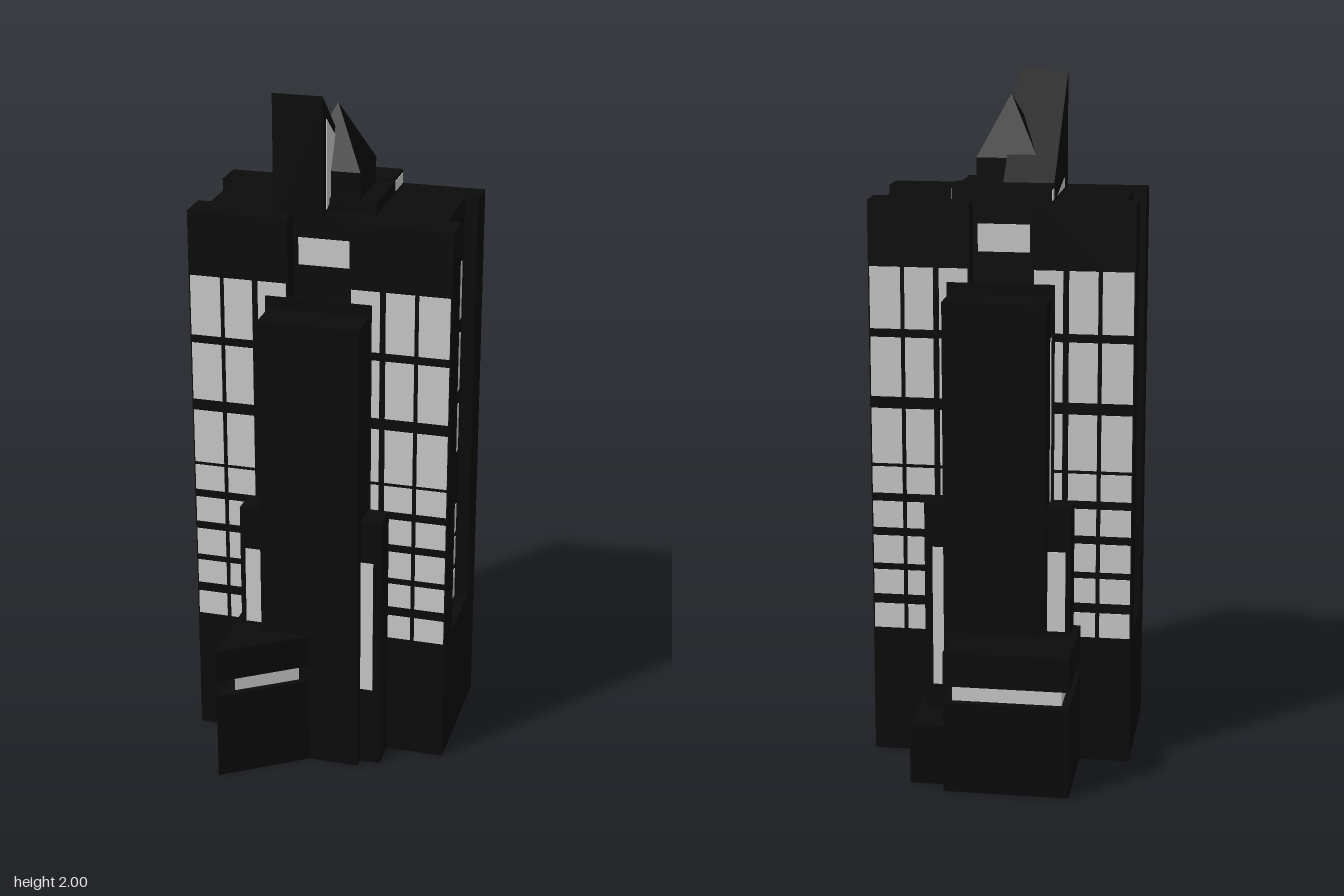
import * as THREE from 'three';

export function createModel() {
  const model = new THREE.Group();
  const dark = new THREE.MeshStandardMaterial({ color: 0x0b0b0b });
  dark.name = 'black cladding';
  const glass = new THREE.MeshStandardMaterial({ color: 0xcccccc });
  glass.name = 'pale glass';

  const add = (name, geometry, material) => {
    const mesh = new THREE.Mesh(geometry, material);
    mesh.name = name;
    model.add(mesh);
    return mesh;
  };
  // Box given by its limits on each axis
  const box = (name, x0, x1, y0, y1, z0, z1, material = dark) => {
    const mesh = add(name, new THREE.BoxGeometry(x1 - x0, y1 - y0, z1 - z0), material);
    mesh.position.set((x0 + x1) / 2, (y0 + y1) / 2, (z0 + z1) / 2);
    return mesh;
  };
  // Vertical prism over an [x, z] footprint
  const prism = (name, points, y0, y1, material = dark) => {
    const shape = new THREE.Shape(points.map(([x, z]) => new THREE.Vector2(x, -z)));
    const geometry = new THREE.ExtrudeGeometry(shape, { depth: y1 - y0, bevelEnabled: false });
    geometry.rotateX(-Math.PI / 2);
    geometry.translate(0, y0, 0);
    return add(name, geometry, material);
  };
  // Thin panes on faces pointing along z or x
  const paneZ = (name, x0, x1, y0, y1, z, s) =>
    box(name, x0, x1, y0, y1, z * s - 0.002, z * s + 0.002, glass);
  const paneX = (name, x, s, y0, y1, z0, z1) =>
    box(name, x * s - 0.002, x * s + 0.002, y0, y1, z0, z1, glass);

  // Main slab: solid base, notched ends, recessed centre at the top
  const W = 0.383, D = 0.21, N = 0.345, H = 0.11;
  box('base', -W, W, 0, 0.38, -D, D);
  prism('mainBody', [
    [-W, -D], [W, -D], [W, -H], [N, -H], [N, H], [W, H],
    [W, D], [-W, D], [-W, H], [-N, H], [-N, -H], [-W, -H],
  ], 0.38, 1.395);
  prism('upperBody', [
    [-W, -D], [-0.09, -D], [-0.09, -0.15], [0.09, -0.15], [0.09, -D], [W, -D],
    [W, -H], [N, -H], [N, H], [W, H],
    [W, D], [0.09, D], [0.09, 0.15], [-0.09, 0.15], [-0.09, D], [-W, D],
    [-W, H], [-N, H], [-N, -H], [-W, -H],
  ], 1.395, 1.66);

  // Front and back window grids
  const rows = [
    [1.29, 1.47], [1.09, 1.265], [0.89, 1.055], [0.8, 0.88],
    [0.695, 0.775], [0.585, 0.67], [0.49, 0.565], [0.385, 0.46],
  ];
  const columns = [[0.29, 0.379], [0.195, 0.278], [0.095, 0.178]];
  for (const s of [1, -1]) {
    for (const [y0, y1] of rows) {
      for (const [a, b] of columns) {
        paneZ('windowPane', a, b, y0, y1, D, s);
        paneZ('windowPane', -b, -a, y0, y1, D, s);
      }
    }
    paneZ('topCentreWindow', -0.075, 0.075, 1.51, 1.59, 0.15, s);
  }

  // End windows inside the notches
  const endRows = [
    [1.305, 1.48], [1.08, 1.26], [0.885, 1.035],
    [0.615, 0.705], [0.505, 0.595], [0.39, 0.485],
  ];
  for (const s of [1, -1]) {
    for (const [y0, y1] of endRows) paneX('endWindow', N, s, y0, y1, -0.088, 0.088);
  }

  // Central shaft running through the slab, with lower shoulders
  box('centralShaft', -0.145, 0.15, 0, 1.395, -0.33, 0.33);
  for (const s of [1, -1]) {
    box('shaftBacking', -0.155, 0.155, 0.8, 1.43, s * 0.211 - 0.006, s * 0.211 + 0.006);
    paneX('shaftSideWindow', s > 0 ? 0.15 : 0.145, s, 0.8, 1.28, -0.236, -0.218);
    box('shoulder', -0.215, 0.21, 0, 0.8, Math.min(0, s * 0.3), Math.max(0, s * 0.3));
    paneZ('shoulderWindow', 0.15, 0.187, 0.25, 0.67, 0.3, s);
    paneZ('shoulderWindow', -0.2, -0.148, 0.43, 0.67, 0.3, s);
  }

  // Pointed front porch with a recessed glass band
  const porch = [[-0.235, 0.2], [-0.235, 0.49], [0, 0.33], [0, 0.2]];
  prism('frontPorchBase', porch, 0, 0.27);
  prism('frontPorchGlass', [[-0.195, 0.2], [-0.195, 0.44], [-0.03, 0.33], [-0.03, 0.2]], 0.27, 0.32, glass);
  prism('frontPorchRoof', porch, 0.32, 0.42);

  // Square back porch with a recessed glass band and a low step
  box('backPorchBase', -0.235, 0.125, 0, 0.27, -0.495, -0.2);
  box('backPorchGlass', -0.212, 0.102, 0.27, 0.32, -0.472, -0.2, glass);
  box('backPorchRoof', -0.235, 0.125, 0.32, 0.42, -0.495, -0.2);
  box('backStep', 0.1, 0.23, 0, 0.18, -0.45, -0.2);

  // Rooftop room
  box('rooftopRoom', -0.143, 0.14, 1.655, 1.695, -0.2, 0.105);
  box('rooftopRoomCap', -0.143, 0.14, 1.695, 1.705, -0.2, -0.1);
  paneX('rooftopWindow', 0.14, 1, 1.665, 1.695, -0.195, -0.11);
  paneX('rooftopWindow', 0.143, -1, 1.665, 1.695, -0.195, 0.09);

  // Sloped fin, drawn in (-z, y) and turned to run along z
  const finPart = (name, points, width, x, material) => {
    const shape = new THREE.Shape(points.map(([z, y]) => new THREE.Vector2(-z, y)));
    const geometry = new THREE.ExtrudeGeometry(shape, { depth: width, bevelEnabled: false });
    geometry.rotateY(Math.PI / 2);
    geometry.translate(x, 0, 0);
    add(name, geometry, material);
  };
  finPart('roofFin', [[0.16, 1.655], [0.16, 2], [-0.16, 1.71], [-0.16, 1.655]], 0.145, -0.145, dark);
  finPart('finGlass', [[0.13, 1.67], [0.13, 1.93], [0.04, 1.86], [0.04, 1.71]], 0.004, -0.001, glass);

  // Pyramid turret
  box('turretBase', -0.088, 0.088, 1.655, 1.77, -0.088, 0.088);
  const pyramid = new THREE.ConeGeometry(0.088 * Math.SQRT2, 0.175, 4).toNonIndexed();
  pyramid.computeVertexNormals();
  pyramid.rotateY(Math.PI / 4);
  add('turretRoof', pyramid, dark).position.y = 1.77 + 0.0875;

  return model;
}
